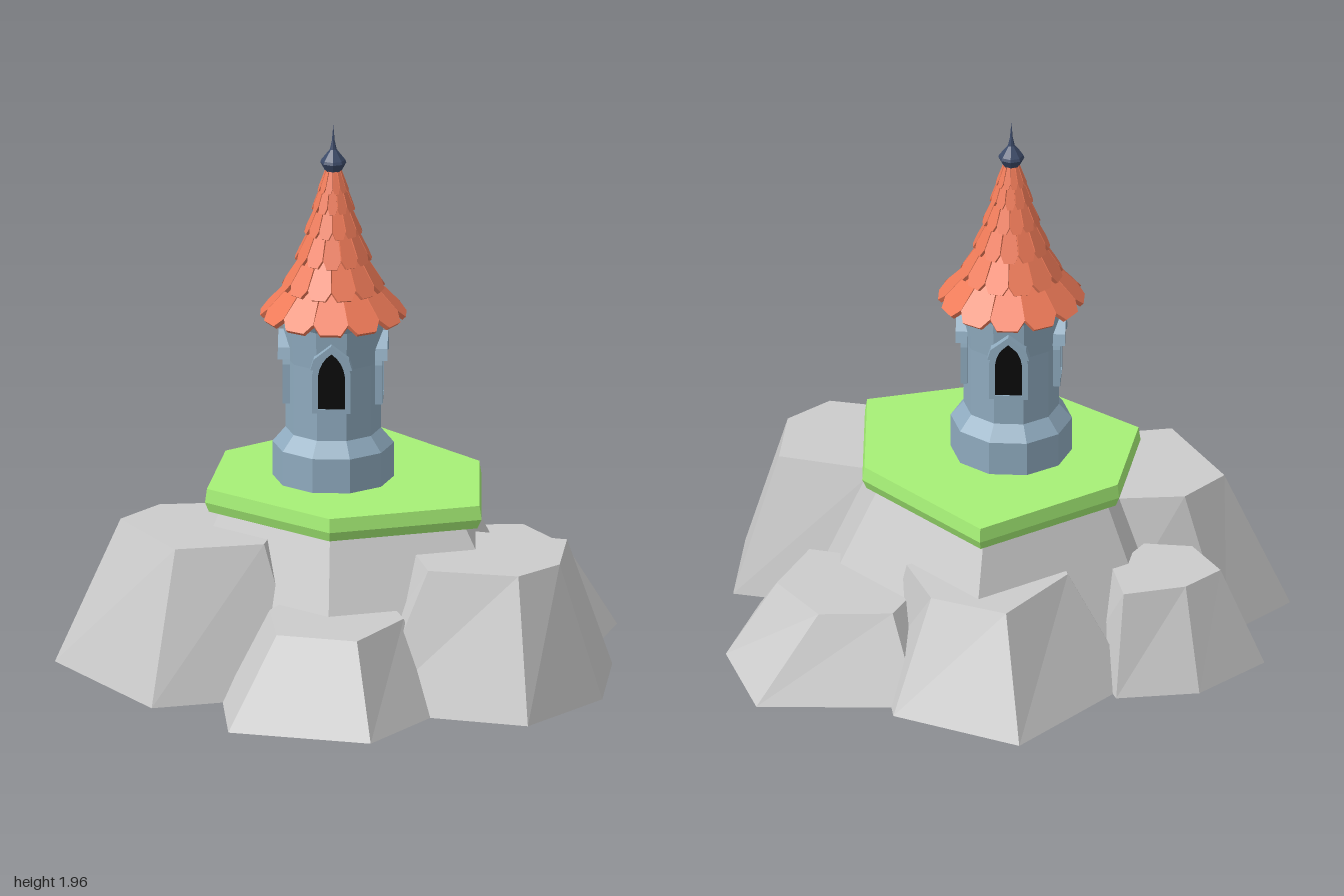
import * as THREE from 'three';

const mat = (color) => new THREE.MeshStandardMaterial({ color, flatShading: true, side: THREE.DoubleSide });

// Loft a stack of horizontal polygons ({ y, pts: [[x, z], ...] }, bottom to top) and cap it
function loft(rings, closeBottom = false) {
  const area = rings[0].pts.reduce((s, [x, z], i, p) => {
    const [nx, nz] = p[(i + 1) % p.length];
    return s + x * nz - nx * z;
  }, 0);
  const loops = rings.map(({ y, pts }) => {
    const loop = pts.map(([x, z]) => [x, y, z]);
    return area > 0 ? loop.reverse() : loop;
  });
  const pos = [];
  const tri = (a, b, c) => pos.push(...a, ...b, ...c);
  const n = loops[0].length;
  for (let k = 0; k < loops.length - 1; k++) {
    const lo = loops[k], hi = loops[k + 1];
    for (let i = 0; i < n; i++) {
      const j = (i + 1) % n;
      tri(lo[i], lo[j], hi[j]);
      tri(lo[i], hi[j], hi[i]);
    }
  }
  const top = loops[loops.length - 1], bottom = loops[0];
  for (let i = 1; i < n - 1; i++) {
    tri(top[0], top[i], top[i + 1]);
    if (closeBottom) tri(bottom[0], bottom[i + 1], bottom[i]);
  }
  const g = new THREE.BufferGeometry();
  g.setAttribute('position', new THREE.Float32BufferAttribute(pos, 3));
  g.computeVertexNormals();
  return g;
}

const lathe = (pts, sides, phase = 0) =>
  new THREE.LatheGeometry(pts.map(([r, y]) => new THREE.Vector2(r, y)), sides, phase);

// Pointed arch outline
function arch(w, y0, ySpring, yTop, Type = THREE.Shape) {
  const s = new Type();
  s.moveTo(-w, y0);
  s.lineTo(w, y0);
  s.lineTo(w, ySpring);
  s.quadraticCurveTo(w * 0.85, (ySpring + yTop) / 2 + 0.015, 0, yTop);
  s.quadraticCurveTo(-w * 0.85, (ySpring + yTop) / 2 + 0.015, -w, ySpring);
  s.closePath();
  return s;
}

const extrude = (shape, depth) =>
  new THREE.ExtrudeGeometry(shape, { depth, bevelEnabled: false, curveSegments: 4 });

export function createModel() {
  const model = new THREE.Group();
  const stone = mat(0xcccccc), grass = mat(0xa6f076), wall = mat(0x8fabbf);
  const tile = mat(0xee7a58), dark = mat(0x3c4a68), black = mat(0x0a0a0a);
  const add = (parent, name, geometry, material) => {
    const m = new THREE.Mesh(geometry, material);
    m.name = name;
    parent.add(m);
    return m;
  };

  // Outer boulders: height, base outline, top outline
  const boulders = [
    ['frontLeftRock', 0.495,
      [[0.98, 0.07], [0.96, 0.47], [0.71, 0.78], [0.15, 0.65], [0.08, 0.22], [0.5, -0.02]],
      [[0.825, 0.18], [0.81, 0.46], [0.67, 0.6], [0.35, 0.55], [0.28, 0.3], [0.48, 0.1]]],
    ['backLeftRock', 0.29,
      [[0.98, -0.375], [0.88, 0.01], [0.36, -0.1], [0.17, -0.38], [0.28, -0.735], [0.85, -0.76]],
      [[0.8, -0.375], [0.7, -0.12], [0.42, -0.18], [0.3, -0.38], [0.38, -0.58], [0.64, -0.6]]],
    ['backRock', 0.4,
      [[-0.09, -0.995], [0.365, -0.8], [0.43, -0.4], [0.04, -0.02], [-0.38, -0.2], [-0.46, -0.51]],
      [[-0.03, -0.76], [0.24, -0.66], [0.34, -0.42], [0.04, -0.24], [-0.18, -0.3], [-0.23, -0.455]]],
    ['backRightRock', 0.36,
      [[-0.41, -0.625], [-0.7, -0.57], [-0.915, -0.33], [-0.77, -0.12], [-0.4, -0.05], [-0.28, -0.32]],
      [[-0.43, -0.52], [-0.645, -0.45], [-0.76, -0.32], [-0.65, -0.15], [-0.48, -0.14], [-0.38, -0.33]]],
    ['rightRock', 0.52,
      [[-0.98, 0.12], [-0.62, 0.63], [-0.08, 0.47], [0, 0.02], [-0.32, -0.24], [-0.77, -0.13]],
      [[-0.75, 0.085], [-0.545, 0.42], [-0.235, 0.35], [-0.18, 0.05], [-0.38, -0.11], [-0.62, -0.08]]],
    ['frontRock', 0.32,
      [[-0.34, 0.89], [0.165, 0.995], [0.39, 0.66], [0.28, 0.16], [-0.15, 0.07], [-0.375, 0.53]],
      [[-0.175, 0.76], [0.11, 0.82], [0.265, 0.56], [0.18, 0.3], [-0.1, 0.27], [-0.21, 0.48]]],
  ];
  const rocks = new THREE.Group();
  rocks.name = 'rocks';
  model.add(rocks);
  for (const [name, h, base, top] of boulders) {
    add(rocks, name, loft([{ y: 0, pts: base }, { y: h, pts: top }]), stone);
  }

  // Central rock and grass slab share one outline
  const plan = [[0.07, -0.63], [0.51, -0.19], [0.53, 0.32], [0, 0.49], [-0.45, 0.165], [-0.4, -0.27]];
  const ring = (y, s) => ({ y, pts: plan.map(([x, z]) => [x * s, z * s]) });
  add(rocks, 'centralRock', loft([ring(0, 1.42), ring(0.6, 0.86)]), stone);
  add(model, 'grassPlatform', loft([ring(0.575, 0.97), ring(0.61, 1), ring(0.66, 0.985)], true), grass);

  const tower = new THREE.Group();
  tower.name = 'tower';
  tower.position.set(-0.005, 0, -0.01);
  model.add(tower);

  // Ten-sided plinth with sloped shoulder, and shaft with a flared head
  add(tower, 'plinth', lathe([[0.214, 0.65], [0.214, 0.785], [0.15, 0.86]], 10, Math.PI / 10), wall);
  add(tower, 'shaft', lathe([[0.168, 0.66], [0.168, 1.1], [0.178, 1.24], [0.2, 1.275], [0, 1.275]],
    10, Math.PI / 10), wall);

  // Four pointed windows
  const frameShape = arch(0.068, 0.945, 1.09, 1.19);
  frameShape.holes.push(arch(0.048, 0.96, 1.08, 1.165, THREE.Path));
  const frameGeo = extrude(frameShape, 0.026);
  const hoodShape = new THREE.Shape();
  const hoodSide = [[0.074, 1.11], [0.062, 1.15], [0, 1.2]];
  const hoodInner = [[0, 1.172], [0.037, 1.138], [0.052, 1.11]];
  const flip = (pts) => pts.map(([x, y]) => [-x, y]).reverse();
  hoodShape.setFromPoints([...hoodSide, ...flip(hoodSide).slice(1), ...flip(hoodInner), ...hoodInner.slice(1)]
    .map(([x, y]) => new THREE.Vector2(x, y)));
  const hoodGeo = extrude(hoodShape, 0.043);
  const paneGeo = new THREE.ShapeGeometry(arch(0.05, 0.955, 1.08, 1.17), 4);
  for (let i = 0; i < 4; i++) {
    const win = new THREE.Group();
    win.name = 'window';
    win.rotation.y = i * Math.PI / 2;
    add(win, 'windowPane', paneGeo, black).position.z = 0.171;
    add(win, 'windowFrame', frameGeo, wall).position.z = 0.15;
    add(win, 'windowHood', hoodGeo, wall).position.z = 0.15;
    tower.add(win);
  }

  // Roof: inner cone, then tiers of overlapping tiles
  const roof = new THREE.Group();
  roof.name = 'roof';
  tower.add(roof);
  add(roof, 'roofCore', lathe([[0.2, 1.285], [0.125, 1.38], [0.094, 1.48], [0.068, 1.58],
    [0.05, 1.66], [0.036, 1.74], [0.018, 1.8]], 12), tile);
  const tiers = [ // bottom y, bottom radius, top y, top radius
    [1.25, 0.244, 1.385, 0.12], [1.355, 0.17, 1.485, 0.09], [1.46, 0.125, 1.585, 0.065],
    [1.56, 0.093, 1.665, 0.048], [1.645, 0.068, 1.74, 0.034], [1.715, 0.048, 1.8, 0.018],
  ];
  const count = 12;
  tiers.forEach(([y0, r0, y1, r1], t) => {
    const len = Math.hypot(r0 - r1, y1 - y0);
    const wTop = r1 * Math.tan(Math.PI / count), w = r0 * Math.tan(Math.PI / count) * 0.93;
    const s = new THREE.Shape();
    s.moveTo(wTop, 0);
    s.lineTo(-wTop, 0);
    s.lineTo(-w, -len * 0.78);
    s.lineTo(-w * 0.6, -len);
    s.lineTo(w * 0.6, -len);
    s.lineTo(w, -len * 0.78);
    const g = extrude(s, 0.005 + r0 * 0.05);
    g.rotateX(-Math.atan2(r0 - r1, y1 - y0));
    g.translate(0, y1, r1);
    for (let i = 0; i < count; i++) {
      add(roof, 'roofTile', g, tile).rotation.y = (i + (t % 2) / 2) * 2 * Math.PI / count;
    }
  });

  // Finial with spike
  add(tower, 'finial', lathe([[0, 1.785], [0.03, 1.79], [0.046, 1.82], [0.042, 1.83],
    [0.012, 1.868], [0.005, 1.9], [0, 1.96]], 8), dark);

  return model;
}
